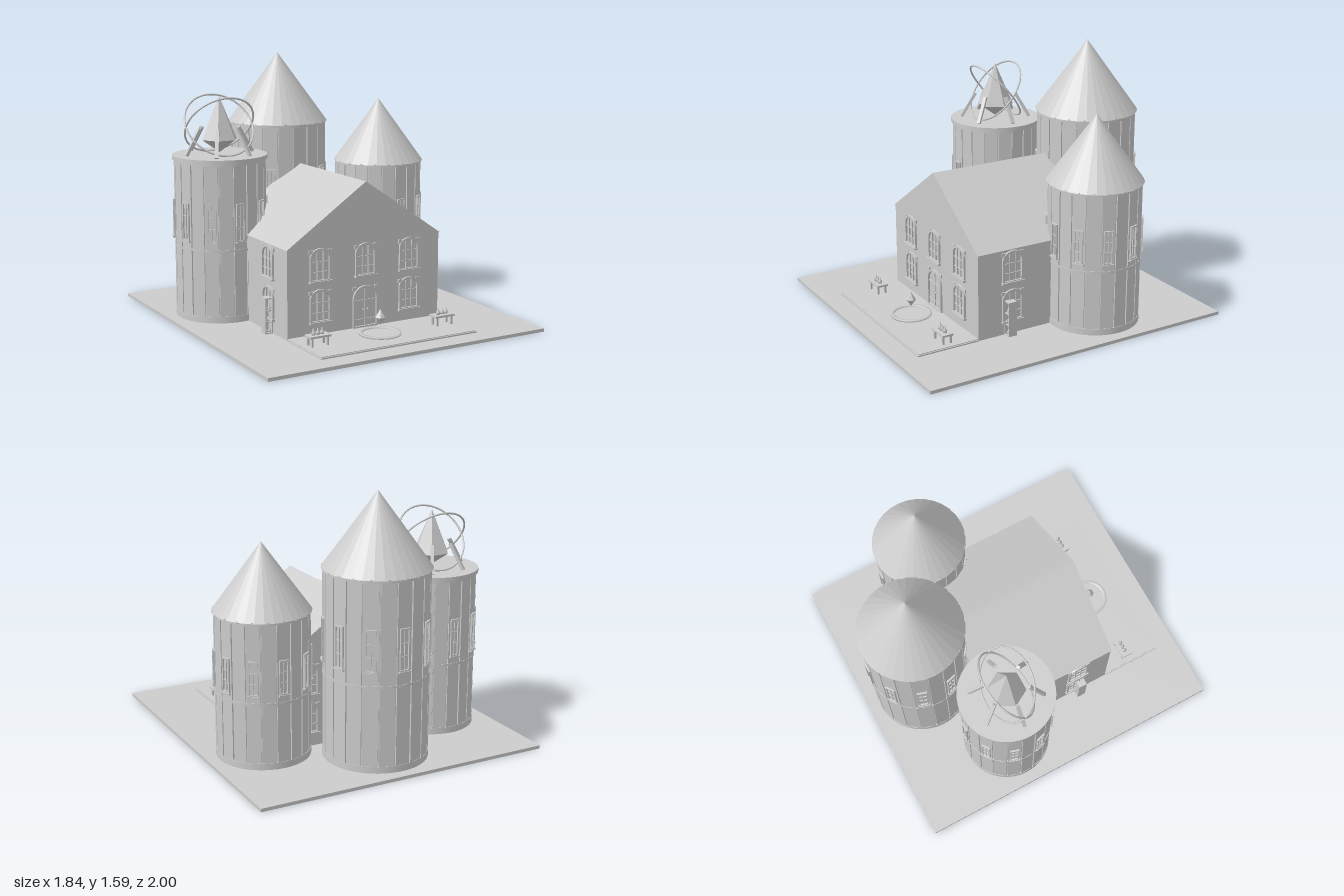
import * as THREE from 'three';

const stone = new THREE.MeshStandardMaterial({ color: 0xcccccc });
stone.name = 'palegrey';

function add(parent, name, geometry, x = 0, y = 0, z = 0) {
  const g = geometry.index ? geometry.toNonIndexed() : geometry;
  const mesh = new THREE.Mesh(g, stone);
  mesh.name = name;
  mesh.position.set(x, y, z);
  parent.add(mesh);
  return mesh;
}
const box = (p, n, w, h, d, x, y, z) => add(p, n, new THREE.BoxGeometry(w, h, d), x, y, z);
function flat(p, n, geometry, x, y, z) {
  const m = add(p, n, geometry, x, y, z);
  m.geometry.computeVertexNormals();
  return m;
}
function group(parent, name, x = 0, y = 0, z = 0, turn = 0) {
  const g = new THREE.Group();
  g.name = name;
  g.position.set(x, y, z);
  g.rotation.y = turn;
  parent.add(g);
  return g;
}

// Outline with straight jambs and a rounded head, standing on y0
function archPath(Type, w, h, rise, y0 = 0) {
  const p = new Type();
  p.moveTo(-w / 2, y0);
  p.lineTo(w / 2, y0);
  p.lineTo(w / 2, y0 + h - rise);
  p.absellipse(0, y0 + h - rise, w / 2, rise, 0, Math.PI, false);
  p.lineTo(-w / 2, y0);
  return p;
}
function archFrame(g, w, h, rise, t, depth) {
  const s = archPath(THREE.Shape, w, h, rise);
  s.holes.push(archPath(THREE.Path, w - 2 * t, h - 2 * t, rise - t / 2, t));
  add(g, 'frame', new THREE.ExtrudeGeometry(s, { depth, bevelEnabled: false, curveSegments: 14 }));
}

// Arched house window with glazing bars, shoulders and sill
function archWindow(parent, x, y, z, turn) {
  const g = group(parent, 'archedWindow', x, y, z, turn);
  archFrame(g, 0.14, 0.2, 0.055, 0.013, 0.012);
  for (const s of [-1, 1]) {
    box(g, 'mullion', 0.006, 0.17, 0.008, s * 0.02, 0.1, 0.004);
    box(g, 'shoulder', 0.025, 0.022, 0.008, s * 0.063, 0.18, 0.004);
  }
  for (const v of [0.06, 0.12]) box(g, 'glazingBar', 0.116, 0.005, 0.007, 0, v, 0.0035);
  box(g, 'sill', 0.15, 0.012, 0.02, 0, 0.002, 0.01);
}

// Arched double door with straps and knobs
function door(parent, x, y, z) {
  const g = group(parent, 'door', x, y, z);
  archFrame(g, 0.17, 0.255, 0.075, 0.012, 0.012);
  box(g, 'doorSeam', 0.004, 0.23, 0.005, 0, 0.115, 0.0025);
  for (const v of [0.05, 0.165]) box(g, 'strap', 0.146, 0.006, 0.006, 0, v, 0.003);
  for (const s of [-1, 1]) {
    add(g, 'knob', new THREE.SphereGeometry(0.006, 10, 8), s * 0.015, 0.11, 0.006);
    box(g, 'shoulder', 0.025, 0.022, 0.008, s * 0.075, 0.24, 0.004);
  }
}

// Narrow tower window
function towerWindow(parent, w, h, x, y, z, turn) {
  const g = group(parent, 'towerWindow', x, y, z, turn);
  for (const s of [-1, 1]) {
    box(g, 'jamb', 0.008, h, 0.012, s * (w / 2 - 0.004), h / 2, 0.005);
    box(g, 'rail', w, 0.009, 0.012, 0, h / 2 + s * (h / 2 - 0.0045), 0.005);
  }
  box(g, 'mullion', 0.005, h, 0.008, 0, h / 2, 0.003);
  for (const f of [0.35, 0.65]) box(g, 'glazingBar', w, 0.005, 0.007, 0, h * f, 0.003);
  box(g, 'sill', w + 0.012, 0.01, 0.02, 0, -0.004, 0.006);
}

// Twenty-sided panelled tower with bands and a ring of windows
function tower(parent, name, x, z, r, top, band, winY, winH) {
  const g = group(parent, name, x, 0, z);
  const n = 20, inner = r - 0.008, half = Math.tan(Math.PI / n);
  const core = flat(g, 'core', new THREE.CylinderGeometry(inner, inner, top - 0.02, n), 0, (top + 0.02) / 2, 0);
  core.rotation.y = Math.PI / n;
  for (let i = 0; i < n; i++) {
    const a = i * 2 * Math.PI / n, sx = Math.sin(a), cz = Math.cos(a);
    const panel = box(g, 'wallPanel', 2 * (r - 0.008) * half - 0.007, top - 0.02, 0.014,
      sx * (r - 0.01), (top + 0.02) / 2, cz * (r - 0.01));
    panel.rotation.y = a;
    if (i % 2 === 0) towerWindow(g, r * 0.2, winH, sx * (r - 0.003), winY, cz * (r - 0.003), a);
  }
  for (const [y, h] of [[band, 0.014], [0.04, 0.04], [top - 0.01, 0.014]])
    add(g, 'band', new THREE.CylinderGeometry(r + 0.001, r + 0.001, h, 40), 0, y, 0);
  return g;
}

function coneRoof(g, r, y, h) {
  flat(g, 'coneRoof', new THREE.ConeGeometry(r, h, 32), 0, y + h / 2, 0);
  for (let i = 0; i < 20; i++) {
    const a = i * Math.PI / 10;
    box(g, 'eaveStud', 0.012, 0.012, 0.012, Math.sin(a) * (r - 0.008), y, Math.cos(a) * (r - 0.008)).rotation.y = a;
  }
}

// Six-sided crystal, long above and short below, resting on y
function crystal(parent, r, low, high, x, y, z) {
  const g = group(parent, 'crystal', x, y, z, Math.PI / 6);
  const up = new THREE.ConeGeometry(r, high, 6, 1, true);
  flat(g, 'upperPoint', up, 0, low + high / 2, 0);
  flat(g, 'lowerPoint', new THREE.CylinderGeometry(r, 0, low, 6, 1, true), 0, low / 2, 0);
}

function bottle(parent, x, y, z, s = 1) {
  const pts = [[0, 0], [0.011, 0.001], [0.012, 0.014], [0.004, 0.024], [0.004, 0.036], [0, 0.036]];
  add(parent, 'bottle', new THREE.LatheGeometry(pts.map(p => new THREE.Vector2(p[0] * s, p[1] * s)), 10), x, y, z);
}

export function createModel() {
  const model = new THREE.Group();
  model.name = 'towerHouse';
  box(model, 'ground', 1.84, 0.02, 2, 0, 0.01, 0);

  // Hall and gabled roof
  const hall = group(model, 'hall');
  box(hall, 'walls', 1.04, 0.53, 0.83, 0, 0.285, 0.055);
  const gable = new THREE.Shape([[-0.525, 0.55], [0.525, 0.55], [0, 0.905]].map(p => new THREE.Vector2(...p)));
  add(hall, 'roof', new THREE.ExtrudeGeometry(gable, { depth: 0.84, bevelEnabled: false }), 0, 0, -0.365);
  for (const s of [-1, 1]) for (const y of [0.1, 0.342]) {
    archWindow(hall, s * 0.305, y, 0.47, 0);
    archWindow(hall, s * 0.305, y, -0.36, Math.PI);
    archWindow(hall, s * 0.52, y, 0.24, s * Math.PI / 2);
  }
  archWindow(hall, 0, 0.342, 0.47, 0);
  door(hall, 0, 0.03, 0.47);

  // Courtyard with fountain ring
  const yard = group(model, 'courtyard');
  box(yard, 'paving', 1.05, 0.008, 0.4, 0, 0.024, 0.67);
  box(yard, 'pavingTop', 1.034, 0.004, 0.392, 0, 0.03, 0.666);
  const rim = [[0.105, 0.03], [0.125, 0.03], [0.125, 0.042], [0.105, 0.042], [0.105, 0.03]];
  add(yard, 'basinRim', new THREE.LatheGeometry(rim.map(p => new THREE.Vector2(...p)), 40), 0, 0, 0.64);
  crystal(yard, 0.031, 0.045, 0.05, 0, 0.085, 0.64);

  for (const s of [-1, 1]) {
    // Tables with bottles
    const table = group(yard, 'table', s * 0.425, 0, 0.655);
    box(table, 'tableTop', 0.135, 0.012, 0.07, 0, 0.088, 0);
    for (const a of [-1, 1]) for (const b of [-1, 1])
      box(table, 'tableLeg', 0.012, 0.055, 0.012, a * 0.05, 0.056, b * 0.024);
    for (const i of [-1, 0, 1]) bottle(table, i * 0.028, 0.094, 0, 1.05);

    // Shelves beside the hall
    const shelf = group(model, 'bottleShelf', s * 0.545, 0, 0.265);
    box(shelf, 'shelfBack', 0.045, 0.215, 0.008, 0, 0.128, -0.024);
    for (const a of [-1, 1]) box(shelf, 'shelfSide', 0.005, 0.215, 0.055, a * 0.021, 0.128, 0);
    for (const y of [0.024, 0.092, 0.16, 0.232]) {
      box(shelf, 'board', 0.045, 0.007, 0.055, 0, y, 0);
      if (y < 0.2) for (const a of [-1, 1]) bottle(shelf, a * 0.01, y + 0.003, 0.01, 0.8);
    }
  }

  // Roofed towers
  coneRoof(tower(model, 'backTower', 0, -0.625, 0.31, 1.15, 0.535, 0.62, 0.25), 0.32, 1.15, 0.44);
  coneRoof(tower(model, 'leftTower', 0.57, -0.3, 0.28, 0.895, 0.415, 0.465, 0.205), 0.29, 0.892, 0.4);

  // Open tower with crystal, leaning posts and crossed rings
  const open = tower(model, 'rightTower', -0.57, -0.3, 0.28, 0.99, 0.462, 0.515, 0.23);
  add(open, 'platform', new THREE.CylinderGeometry(0.29, 0.29, 0.025, 48), 0, 0.9975, 0);
  crystal(open, 0.115, 0.08, 0.265, 0, 1.02, 0);
  for (let i = 0; i < 6; i++) {
    const arm = group(open, 'postArm', 0, 0, 0, i * Math.PI / 3);
    box(arm, 'leaningPost', 0.018, 0.18, 0.022, 0.175, 1.09, 0).rotation.z = 0.53;
  }
  for (const s of [-1, 1])
    add(open, 'ring', new THREE.TorusGeometry(0.22, 0.006, 8, 64), 0, 1.187, 0).rotation.x = s * 0.66;

  return model;
}
